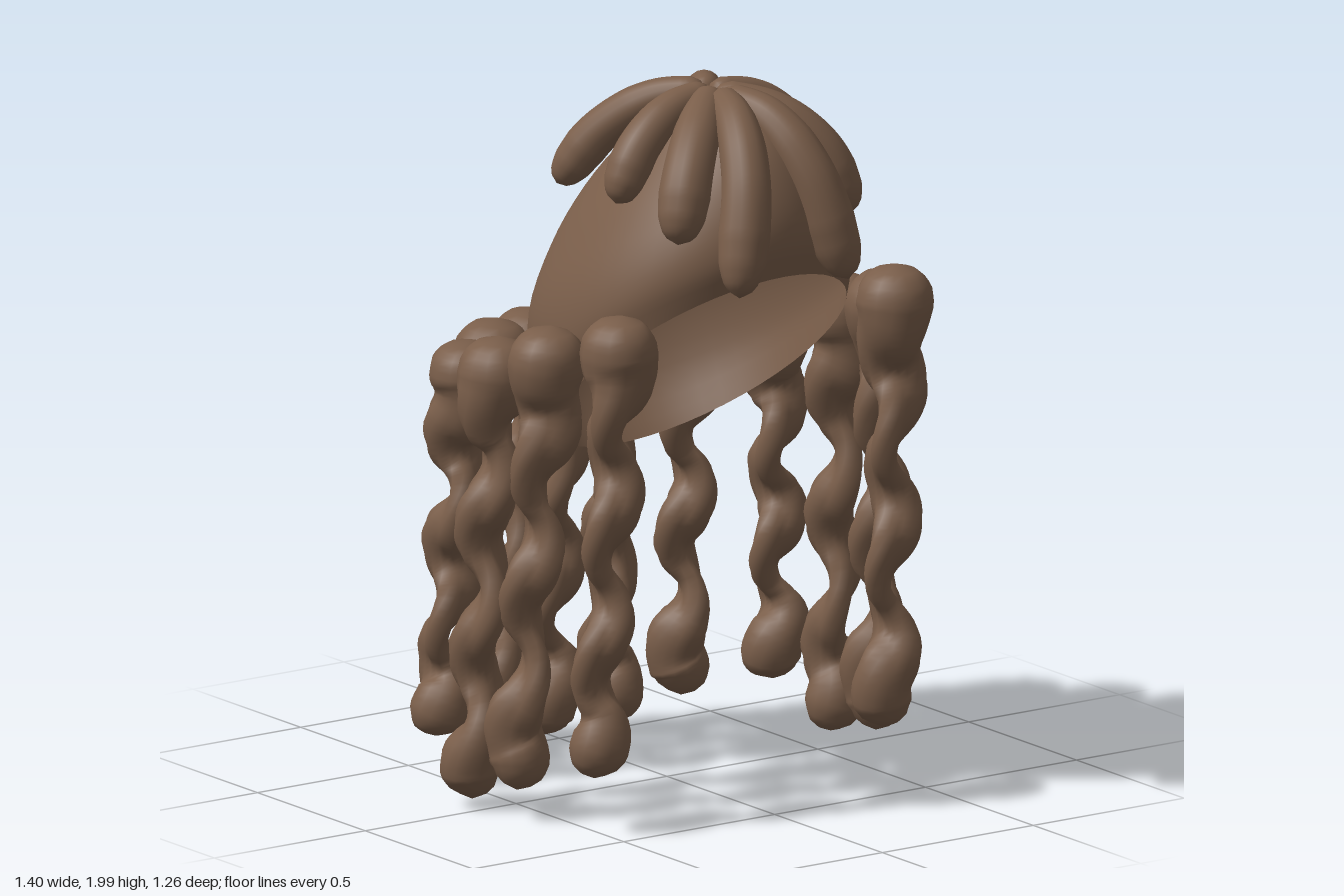
import * as THREE from 'three';
import { mergeVertices } from 'three/addons/utils/BufferGeometryUtils.js';

const hair = new THREE.MeshStandardMaterial({ color: 0x7a5e4a, side: THREE.DoubleSide });
hair.name = 'brown hair';

const V = (x, y, z) => new THREE.Vector3(x, y, z);

// Weld the seams and compute smooth normals
function smooth(geometry) {
  geometry.deleteAttribute('uv');
  geometry.deleteAttribute('normal');
  const g = mergeVertices(geometry, 1e-5);
  g.computeVertexNormals();
  return g;
}

function part(name, geometry) {
  const mesh = new THREE.Mesh(geometry, hair);
  mesh.name = name;
  return mesh;
}

// Linear lookup in a list of [u, value]
function lookup(table, u) {
  for (let i = 1; i < table.length; i++) {
    const [u0, v0] = table[i - 1], [u1, v1] = table[i];
    if (u <= u1) return v0 + (v1 - v0) * (u - u0) / (u1 - u0);
  }
  return table[table.length - 1][1];
}

// Tube whose radius depends on the position along it and the angle round it
function sweep(curve, rows, sides, radius) {
  const g = new THREE.TubeGeometry(curve, rows, 1, sides);
  const pos = g.attributes.position, v = V(0, 0, 0);
  for (let i = 0; i <= rows; i++) {
    const centre = curve.getPointAt(i / rows);
    for (let j = 0; j <= sides; j++) {
      const k = i * (sides + 1) + j;
      v.fromBufferAttribute(pos, k).sub(centre)
        .multiplyScalar(radius(i / rows, (j % sides) / sides * Math.PI * 2)).add(centre);
      pos.setXYZ(k, v.x, v.y, v.z);
    }
  }
  return smooth(g);
}

// Cap: tilted oval rings from the slanted open rim to the crown
function capGeometry() {
  // front z, front y, back z, back y, half width
  const rings = [
    [0.55, 1.51, -0.24, 0.875, 0.395], [0.57, 1.59, -0.335, 1.02, 0.42],
    [0.565, 1.67, -0.385, 1.21, 0.398], [0.53, 1.77, -0.34, 1.42, 0.33],
    [0.48, 1.85, -0.24, 1.61, 0.25], [0.41, 1.91, -0.09, 1.78, 0.17],
    [0.32, 1.955, 0.07, 1.91, 0.085], [0.2, 1.965, 0.2, 1.965, 0],
  ];
  const front = new THREE.CatmullRomCurve3(rings.map(r => V(0, r[1], r[0])));
  const back = new THREE.CatmullRomCurve3(rings.map(r => V(0, r[3], r[2])));
  const width = new THREE.CatmullRomCurve3(rings.map((r, i) => V(r[4], i, 0)));
  const rows = 28, sides = 48, points = [], index = [];
  for (let i = 0; i <= rows; i++) {
    const f = front.getPoint(i / rows), b = back.getPoint(i / rows);
    const w = width.getPoint(i / rows).x;
    for (let j = 0; j < sides; j++) {
      const a = j / sides * Math.PI * 2;
      const p = b.clone().lerp(f, 0.5 + 0.5 * Math.cos(a));
      points.push(w * Math.sin(a), p.y, p.z);
      if (i < rows) {
        const n = (j + 1) % sides, s = i * sides, t = s + sides;
        index.push(s + j, s + n, t + n, s + j, t + n, t + j);
      }
    }
  }
  const g = new THREE.BufferGeometry();
  g.setAttribute('position', new THREE.Float32BufferAttribute(points, 3));
  g.setIndex(index);
  return smooth(g);
}

// Swept locks on the crown, given for the left and mirrored
const locks = [
  ['frontLock', 1.12, [[0, 1.95, 0.24], [0.055, 1.91, 0.4], [0.105, 1.78, 0.515], [0.18, 1.485, 0.59]]],
  ['frontSideLock', 1.12, [[0, 1.95, 0.21], [0.12, 1.9, 0.32], [0.215, 1.8, 0.4], [0.285, 1.62, 0.45]]],
  ['sideLock', 0.95, [[0, 1.955, 0.2], [0.13, 1.92, 0.2], [0.24, 1.84, 0.21], [0.32, 1.69, 0.21]]],
  ['backLock', 0.95, [[0, 1.955, 0.18], [0.08, 1.92, 0.06], [0.17, 1.82, -0.06], [0.255, 1.66, -0.155]]],
];
const lockRadius = [[0, 0], [0.02, 0.025], [0.08, 0.042], [0.4, 0.058], [0.75, 0.064],
  [0.87, 0.058], [0.94, 0.044], [0.98, 0.026], [1, 0]];

// Ringlets: knob x, z, top y, then bulb x, z, bottom y
const ringlets = [
  [0.48, 0.39, 1.44, 0.47, 0.35, 0.14], [0.565, 0.22, 1.38, 0.57, 0.17, 0.08],
  [0.59, 0, 1.315, 0.6, -0.08, 0.02], [0.51, -0.21, 1.24, 0.53, -0.25, 0.14],
  [0.355, -0.39, 1.25, 0.36, -0.44, 0.08], [0.155, -0.44, 1.23, 0.165, -0.5, 0.02],
  [0.01, -0.47, 1.19, -0.01, -0.555, 0],
  [-0.12, -0.46, 1.23, -0.19, -0.53, 0.02], [-0.31, -0.36, 1.25, -0.38, -0.41, 0.08],
  [-0.48, -0.24, 1.24, -0.545, -0.31, 0.13], [-0.55, -0.01, 1.31, -0.61, -0.05, 0.02],
  [-0.53, 0.2, 1.38, -0.59, 0.13, 0.08], [-0.445, 0.41, 1.44, -0.505, 0.37, 0.15],
];
const curlRadius = [[0, 0], [0.006, 0.045], [0.02, 0.075], [0.045, 0.1], [0.08, 0.108], [0.12, 0.098],
  [0.17, 0.076], [0.23, 0.06], [0.3, 0.052], [0.5, 0.05], [0.74, 0.046], [0.8, 0.05], [0.86, 0.066],
  [0.91, 0.08], [0.945, 0.083], [0.975, 0.062], [0.992, 0.032], [1, 0]];

function ringletGeometry([x0, z0, top, x1, z1, bottom], phase) {
  const path = [], steps = 40, turns = 3.8;
  for (let i = 0; i <= steps; i++) {
    const u = i / steps, a = phase + u * turns * Math.PI * 2;
    const r = 0.024 * THREE.MathUtils.smoothstep(u, 0.05, 0.25)
      * (1 - THREE.MathUtils.smoothstep(u, 0.85, 1));
    path.push(V(x0 + (x1 - x0) * u + r * Math.cos(a), top + (bottom - top) * u,
      z0 + (z1 - z0) * u + r * Math.sin(a)));
  }
  // The strand is flattened and twisted between the round knob and bulb
  return sweep(new THREE.CatmullRomCurve3(path), 80, 14, (u, a) => {
    const flat = 0.38 * THREE.MathUtils.smoothstep(u, 0.08, 0.25)
      * (1 - THREE.MathUtils.smoothstep(u, 0.8, 0.92));
    return lookup(curlRadius, u) * (1 + flat * Math.cos(2 * a - u * turns * Math.PI * 2));
  });
}

export function createModel() {
  const model = new THREE.Group();
  model.name = 'ringletWig';
  model.add(part('cap', capGeometry()));

  for (const [name, size, points] of locks) {
    for (const side of [1, -1]) {
      const curve = new THREE.CatmullRomCurve3(points.map(([x, y, z]) => V(side * x, y, z)));
      model.add(part(name + (side > 0 ? 'Left' : 'Right'),
        sweep(curve, 36, 16, u => size * lookup(lockRadius, u))));
    }
  }

  const curls = new THREE.Group();
  curls.name = 'ringlets';
  ringlets.forEach((r, i) => curls.add(part('ringlet' + (i + 1), ringletGeometry(r, i * 1.9))));
  model.add(curls);
  return model;
}
